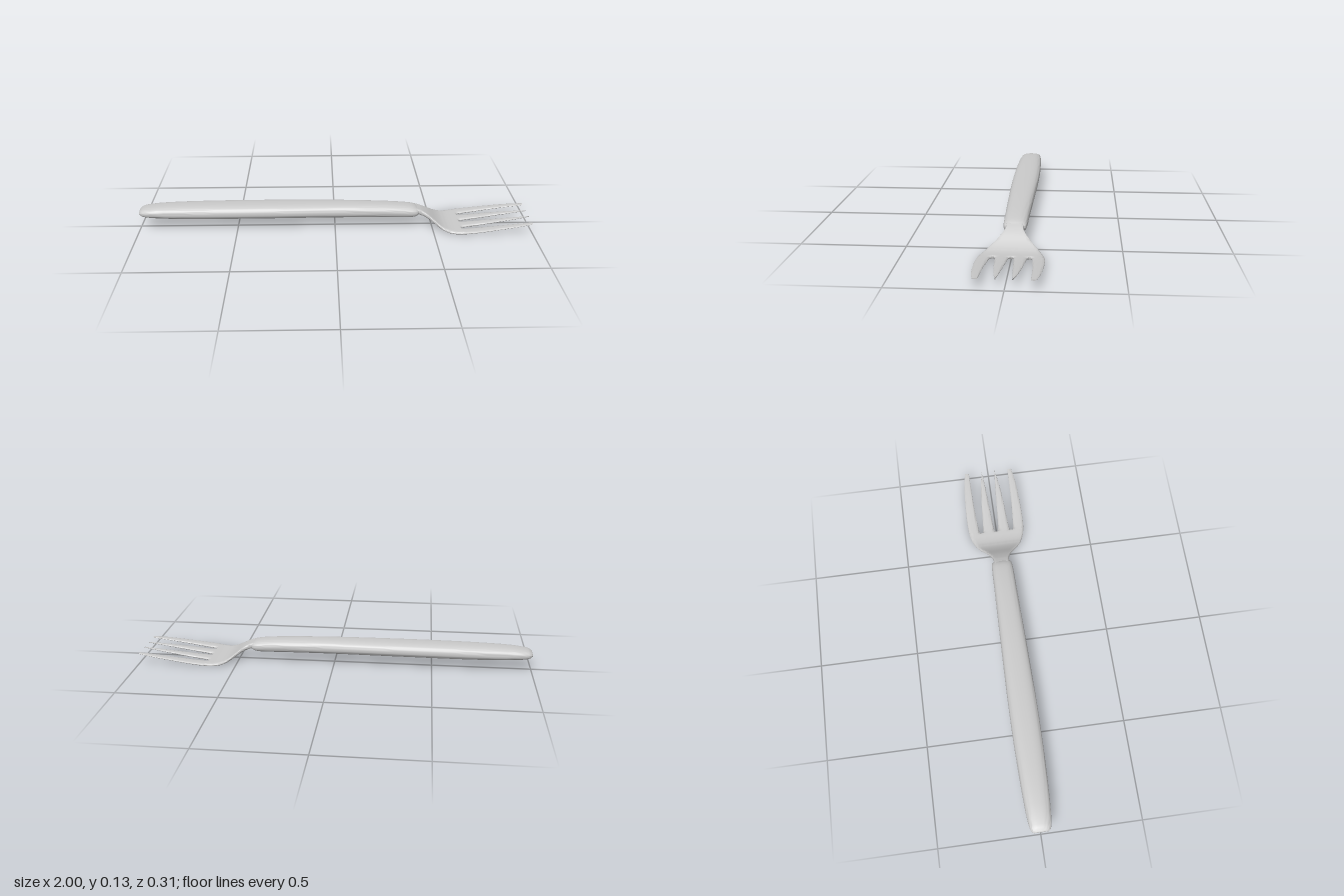
import * as THREE from 'three';
import { toCreasedNormals } from 'three/addons/utils/BufferGeometryUtils.js';

// Smooth value of a [x, value] table at x
function sample(table, x) {
  const n = table.length - 1;
  if (x <= table[0][0]) return table[0][1];
  if (x >= table[n][0]) return table[n][1];
  let i = 0;
  while (x > table[i + 1][0]) i++;
  const slope = (k) => {
    const a = table[Math.max(k - 1, 0)], b = table[Math.min(k + 1, n)];
    return (b[1] - a[1]) / (b[0] - a[0]);
  };
  const [x0, y0] = table[i], [x1, y1] = table[i + 1];
  const d = x1 - x0, t = (x - x0) / d, t2 = t * t, t3 = t2 * t;
  return (2 * t3 - 3 * t2 + 1) * y0 + (t3 - 2 * t2 + t) * d * slope(i)
    + (3 * t2 - 2 * t3) * y1 + (t3 - t2) * d * slope(i + 1);
}

// Skin of closed cross-sections; section(x) gives [y, z] points
function loft(xs, section, crease) {
  const pos = [], index = [];
  const rings = xs.map(section), m = rings[0].length;
  rings.forEach((ring, i) => ring.forEach(([y, z]) => pos.push(xs[i], y, z)));
  for (let i = 0; i < rings.length - 1; i++) {
    for (let j = 0; j < m; j++) {
      const k = (j + 1) % m;
      const a = i * m + j, b = i * m + k, c = b + m, d = a + m;
      index.push(a, b, c, a, c, d);
    }
  }
  // End caps
  for (const i of [0, rings.length - 1]) {
    const centre = pos.length / 3;
    const mean = (q) => rings[i].reduce((s, p) => s + p[q], 0) / m;
    pos.push(xs[i], mean(0), mean(1));
    for (let j = 0; j < m; j++) {
      const a = i * m + j, b = i * m + (j + 1) % m;
      if (i === 0) index.push(centre, b, a);
      else index.push(centre, a, b);
    }
  }
  const geometry = new THREE.BufferGeometry();
  geometry.setAttribute('position', new THREE.Float32BufferAttribute(pos, 3));
  geometry.setIndex(index);
  return toCreasedNormals(geometry, crease);
}

// Handle: half width, top and bottom along its length
const handleWidth = [[-1, 0.036], [-0.99, 0.047], [-0.96, 0.055], [-0.88, 0.062], [-0.7, 0.069],
  [-0.5, 0.072], [-0.3, 0.071], [0, 0.065], [0.25, 0.059], [0.38, 0.056], [0.42, 0.051], [0.432, 0.038]];
const handleTop = [[-1, 0.098], [-0.985, 0.108], [-0.95, 0.115], [-0.88, 0.122], [-0.7, 0.127],
  [-0.4, 0.129], [0, 0.128], [0.25, 0.122], [0.36, 0.115], [0.41, 0.107], [0.432, 0.094]];
const handleBottom = [[-1, 0.08], [-0.985, 0.07], [-0.95, 0.064], [-0.88, 0.059], [-0.7, 0.056],
  [-0.4, 0.057], [0, 0.057], [0.25, 0.054], [0.37, 0.052], [0.41, 0.056], [0.432, 0.07]];

function handleSection(x) {
  const w = sample(handleWidth, x), top = sample(handleTop, x), bottom = sample(handleBottom, x);
  const round = (v) => Math.sign(v) * Math.abs(v) ** 0.76;
  const ring = [];
  for (let j = 0; j < 40; j++) {
    const a = (j / 40) * Math.PI * 2;
    ring.push([(top + bottom) / 2 + round(Math.cos(a)) * (top - bottom) / 2, round(Math.sin(a)) * w]);
  }
  return ring;
}

// Head: half width, centre height, half thickness and half slot width
const headWidth = [[0.41, 0.041], [0.44, 0.041], [0.47, 0.052], [0.5, 0.073], [0.55, 0.115], [0.6, 0.139],
  [0.65, 0.15], [0.72, 0.153], [0.8, 0.151], [0.9, 0.145], [0.97, 0.136], [1, 0.129]];
const headHeight = [[0.41, 0.088], [0.44, 0.081], [0.48, 0.062], [0.52, 0.036], [0.55, 0.02], [0.58, 0.012],
  [0.62, 0.011], [0.7, 0.018], [0.8, 0.03], [0.9, 0.042], [1, 0.053]];
const headThickness = [[0.41, 0.016], [0.46, 0.012], [0.52, 0.009], [0.6, 0.008], [0.75, 0.006], [1, 0.0025]];
const slotGap = [[0.64, 0], [0.642, 0.005], [0.648, 0.009], [0.66, 0.012], [0.7, 0.015],
  [0.8, 0.021], [0.9, 0.027], [0.97, 0.033], [1, 0.038]];

// One strip of the head, running from the neck out to a tine tip
function tineSection(x, isOuter, side) {
  const w = sample(headWidth, x), y = sample(headHeight, x), t = sample(headThickness, x);
  const gap = sample(slotGap, x), split = Math.min(0.083, 0.55 * w);
  const inner = isOuter ? split + gap : gap;
  const outer = isOuter ? w : split - gap;
  const slotRound = Math.min(1, gap / 0.01);
  const upper = [], lower = [], steps = 12;
  for (let k = 0; k <= steps; k++) {
    const u = side * Math.sin((k / steps - 0.5) * Math.PI); // -1 at inner edge, 1 at outer
    const rounding = u > 0 && isOuter ? 1 : slotRound;
    const h = t * (1 - rounding * (1 - Math.max(0.12, Math.sqrt(1 - Math.min(1, u ** 4)))));
    const z = side * ((inner + outer) / 2 + u * (outer - inner) / 2);
    upper.push([y + h, z]);
    lower.unshift([y - h, z]);
  }
  return upper.concat(lower);
}

export function createModel() {
  const material = new THREE.MeshStandardMaterial({ color: 0xcccccc });
  const model = new THREE.Group();
  model.name = 'fork';

  // Handle with rounded ends
  const handleXs = [-1, -0.995, -0.99, -0.98, -0.965, -0.94, -0.91];
  for (let i = 0; i <= 24; i++) handleXs.push(-0.87 + i * 0.051);
  handleXs.push(0.38, 0.395, 0.41, 0.42, 0.427, 0.432);
  const handle = new THREE.Mesh(loft(handleXs, handleSection, 1.0), material);
  handle.name = 'handle';
  model.add(handle);

  // Head of four strips joined at the palm and parted into tines
  const headXs = [];
  for (let i = 0; i <= 23; i++) headXs.push(0.41 + i * 0.01);
  headXs.push(0.641, 0.642, 0.645, 0.648, 0.653, 0.66);
  for (let i = 1; i <= 16; i++) headXs.push(0.66 + i * 0.02);
  headXs.push(0.99, 1);
  const head = new THREE.Group();
  head.name = 'head';
  for (const side of [-1, 1]) {
    for (const isOuter of [false, true]) {
      const tine = new THREE.Mesh(loft(headXs, (x) => tineSection(x, isOuter, side), 0.9), material);
      tine.name = `${side > 0 ? 'front' : 'back'}${isOuter ? 'Outer' : 'Inner'}Tine`;
      head.add(tine);
    }
  }
  model.add(head);
  return model;
}
